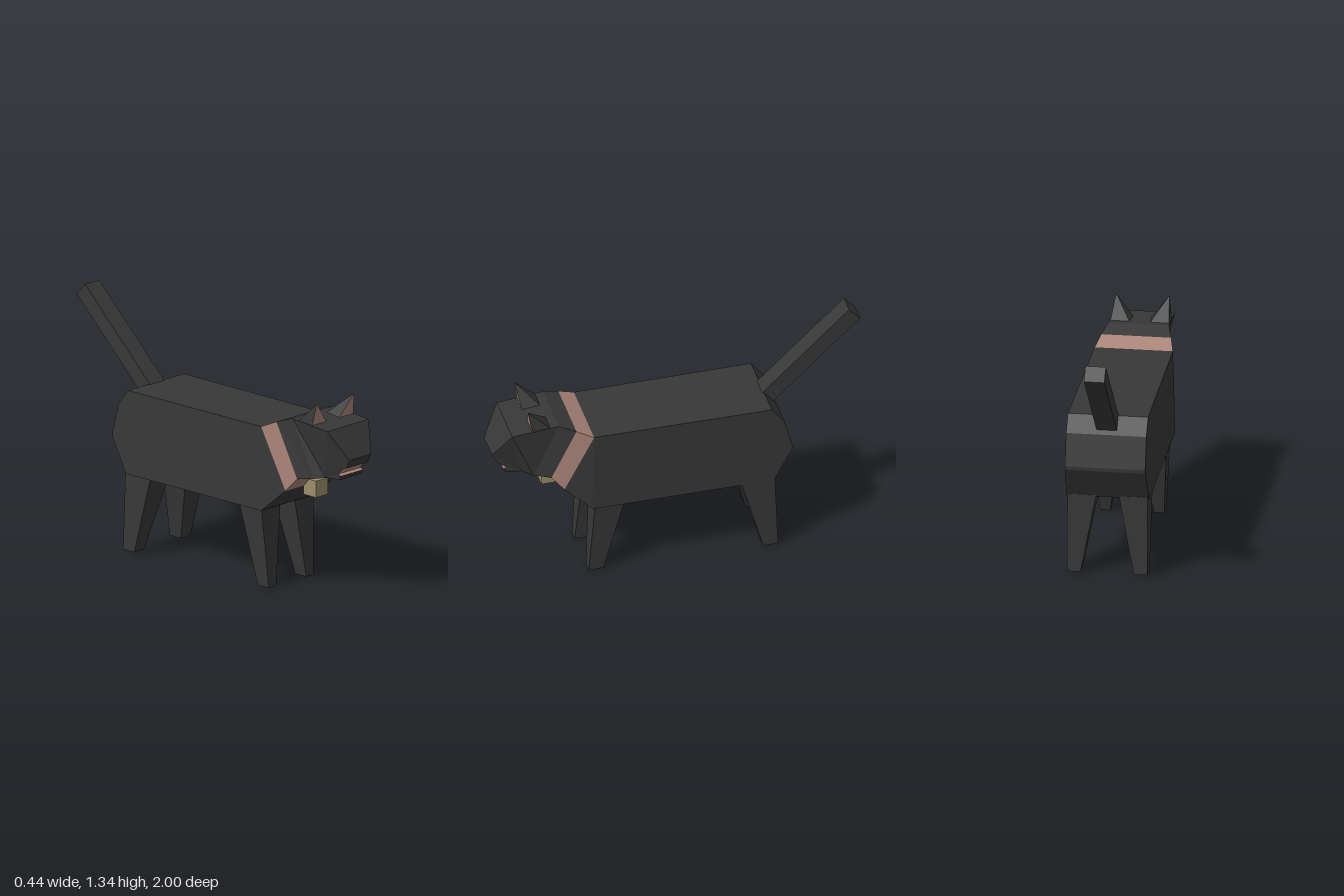
import * as THREE from 'three';

const mat = (name, color) => {
  const m = new THREE.MeshStandardMaterial({ color });
  m.name = name;
  return m;
};

// Joins four-cornered sections; corners run counter-clockwise seen from the end of the loft.
// pick(segment, side) chooses the material index; segment -1 is the two end caps.
function loft(name, sections, mats, pick = () => 0) {
  const faces = mats.map(() => []);
  const quad = (k, a, b, c, d) => faces[k].push(...a, ...b, ...c, ...a, ...c, ...d);
  for (let s = 0; s < sections.length - 1; s++) {
    const A = sections[s], B = sections[s + 1];
    for (let i = 0; i < 4; i++) {
      const j = (i + 1) % 4;
      quad(pick(s, i), A[i], A[j], B[j], B[i]);
    }
  }
  quad(pick(-1, 0), ...[...sections[0]].reverse());
  quad(pick(-1, 1), ...sections[sections.length - 1]);
  const g = new THREE.BufferGeometry();
  g.setAttribute('position', new THREE.Float32BufferAttribute(faces.flat(), 3));
  let start = 0;
  faces.forEach((f, k) => {
    g.addGroup(start, f.length / 3, k);
    start += f.length / 3;
  });
  g.computeVertexNormals();
  const mesh = new THREE.Mesh(g, mats.length > 1 ? mats : mats[0]);
  mesh.name = name;
  return mesh;
}

// Symmetric section: top z, y, half width, then bottom z, y, half width
const sec = (zt, yt, wt, zb, yb, wb) =>
  [[wt, yt, zt], [-wt, yt, zt], [-wb, yb, zb], [wb, yb, zb]];

const mirror = (sections) =>
  sections.map((q) => q.map(([x, y, z]) => [-x, y, z]).reverse());

// Horizontal section of a leg, for a loft running downwards
const slab = (y, x0, x1, z0, z1) => [[x1, y, z0], [x1, y, z1], [x0, y, z1], [x0, y, z0]];

export function createModel() {
  const group = new THREE.Group();
  group.name = 'cat';
  const fur = mat('charcoal fur', 0x383838);
  const pink = mat('dusty pink', 0xa98478);
  const gold = mat('dull gold', 0x9a8f6a);

  // Torso with rounded rump and chest sloping up to the neck
  const neckBack = sec(0.48, 0.885, 0.207, 0.635, 0.56, 0.185);
  const neckFront = sec(0.57, 0.925, 0.185, 0.70, 0.635, 0.165);
  group.add(loft('body', [
    sec(-0.592, 0.63, 0.212, -0.59, 0.61, 0.213),
    sec(-0.547, 0.80, 0.212, -0.545, 0.53, 0.215),
    sec(-0.48, 0.885, 0.212, -0.49, 0.43, 0.218),
    sec(0.48, 0.885, 0.207, 0.49, 0.43, 0.218),
    neckBack,
  ], [fur]));
  group.add(loft('collar', [neckBack, neckFront], [pink]));

  // Head narrowing to the upper muzzle, with the roof of the mouth in pink
  group.add(loft('head', [
    neckFront,
    sec(0.66, 0.957, 0.16, 0.79, 0.648, 0.135),
    sec(0.91, 0.935, 0.157, 0.84, 0.655, 0.095),
    sec(1.0, 0.78, 0.082, 0.92, 0.69, 0.085),
    sec(0.973, 0.73, 0.082, 0.946, 0.725, 0.085),
  ], [fur, pink], (s, i) => (s === 3 && i === 2 ? 1 : 0)));
  group.add(loft('lowerJaw', [
    sec(0.92, 0.69, 0.085, 0.84, 0.655, 0.095),
    sec(0.94, 0.682, 0.085, 0.93, 0.66, 0.08),
  ], [fur, pink], (s, i) => (s === 0 && i === 0 ? 1 : 0)));

  // Bell under the collar
  const bell = new THREE.Mesh(new THREE.BoxGeometry(0.09, 0.09, 0.09), gold);
  bell.name = 'bell';
  bell.position.set(0, 0.557, 0.678);
  group.add(bell);

  // Tail
  group.add(loft('tail', [
    sec(-0.94, 1.335, 0.054, -1.0, 1.27, 0.054),
    sec(-0.47, 0.885, 0.054, -0.53, 0.82, 0.054),
  ], [fur]));

  // Ears and legs, built on the left and mirrored to the right
  const tip = [0.14, 1.063, 0.82];
  const ear = [
    [[0.045, 0.94, 0.69], [0.045, 0.94, 0.80], [0.157, 0.94, 0.80], [0.157, 0.94, 0.69]],
    [tip, tip, tip, tip],
  ];
  const frontLeg = [slab(0.44, 0.053, 0.197, 0.31, 0.472), slab(0, 0.114, 0.17, 0.42, 0.50)];
  const hindLeg = [slab(0.44, 0.06, 0.212, -0.497, -0.315), slab(0.012, 0.14, 0.213, -0.513, -0.432)];
  for (const [side, f] of [['left', (s) => s], ['right', mirror]]) {
    group.add(loft(side + 'Ear', f(ear), [fur, pink], (s, i) => (s === 0 && i === 1 ? 1 : 0)));
    group.add(loft(side + 'FrontLeg', f(frontLeg), [fur]));
    group.add(loft(side + 'HindLeg', f(hindLeg), [fur]));
  }
  return group;
}
